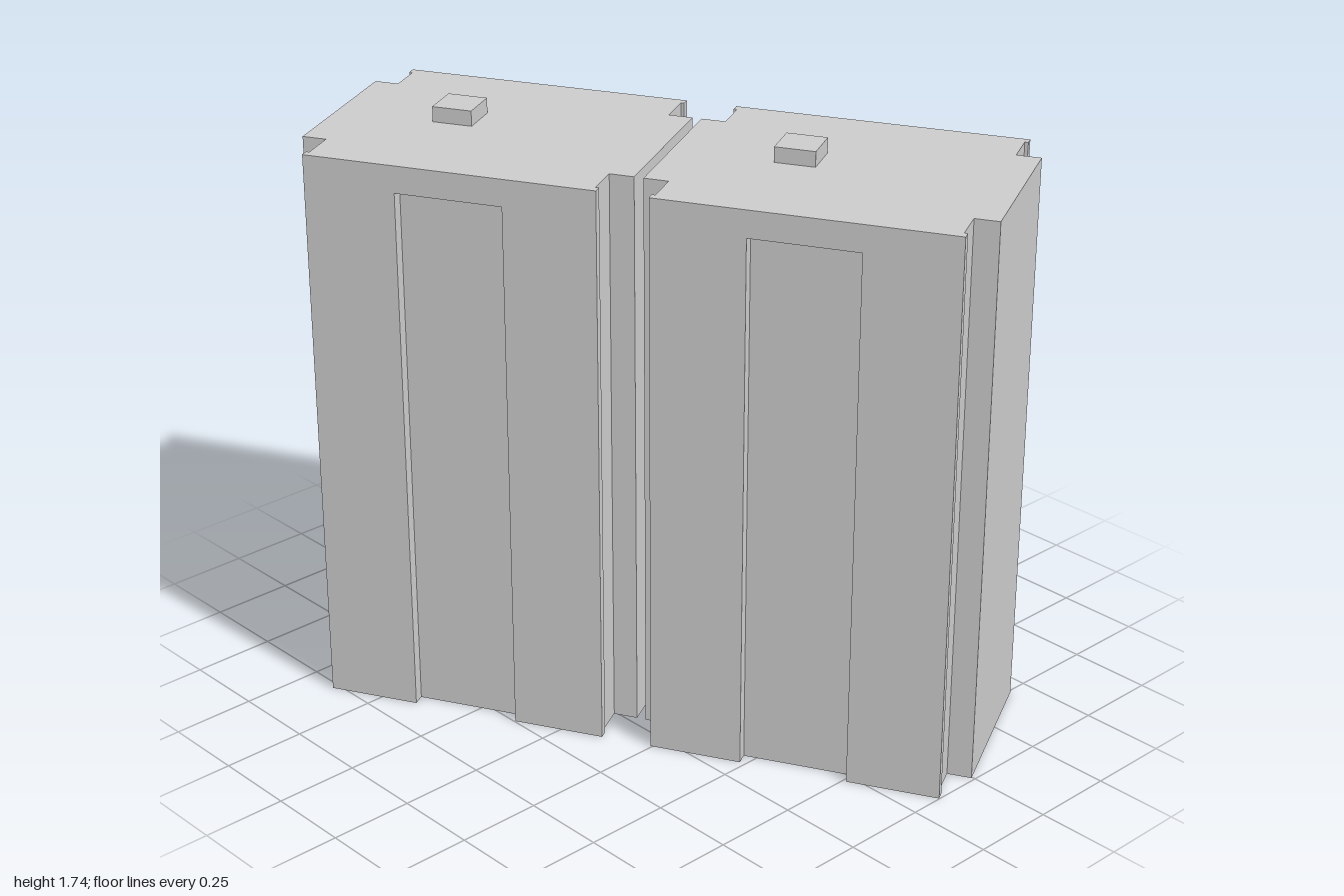
import * as THREE from 'three';

const HEIGHT = 1.69, RECESS_TOP = 1.61;
const SIDE = 0.38, RECESS_X = 0.343, RECESS_Z = 0.157;

const material = new THREE.MeshStandardMaterial({
  color: 0xcccccc, flatShading: true, side: THREE.DoubleSide,
});

// Footprint, counter-clockwise as [x, -z]; the second half is the first turned by 180 degrees
function footprint(withRecess) {
  const half = [
    [-0.248, -0.488], [0.248, -0.488], [0.248, -0.417],
    [0.355, -0.417], [0.355, -0.427], [SIDE, -0.427],
  ];
  if (withRecess) {
    half.push([SIDE, -RECESS_Z], [RECESS_X, -RECESS_Z], [RECESS_X, RECESS_Z], [SIDE, RECESS_Z]);
  }
  half.push([SIDE, 0.427], [0.355, 0.427], [0.355, 0.417], [0.248, 0.417]);
  return [...half, ...half.map(([x, y]) => [-x, -y])];
}

// Upright walls along a closed outline, open above and below
function wallGeometry(outline, y0, y1) {
  const positions = [];
  outline.forEach(([ax, ay], i) => {
    const [bx, by] = outline[(i + 1) % outline.length];
    positions.push(
      ax, y0, -ay, bx, y0, -by, bx, y1, -by,
      ax, y0, -ay, bx, y1, -by, ax, y1, -ay,
    );
  });
  const geometry = new THREE.BufferGeometry();
  geometry.setAttribute('position', new THREE.Float32BufferAttribute(positions, 3));
  geometry.computeVertexNormals();
  return geometry;
}

function addPart(parent, name, geometry, x = 0, y = 0, z = 0) {
  const mesh = new THREE.Mesh(geometry, material);
  mesh.name = name;
  mesh.position.set(x, y, z);
  parent.add(mesh);
}

function createTower() {
  const tower = new THREE.Group();
  const outline = footprint(false);

  // Hollow shell: recessed walls below, a plain band above
  addPart(tower, 'lowerWalls', wallGeometry(footprint(true), 0, RECESS_TOP));
  addPart(tower, 'upperWalls', wallGeometry(outline, RECESS_TOP, HEIGHT));

  // Flat roof
  const shape = new THREE.Shape(outline.map(([x, y]) => new THREE.Vector2(x, y)));
  addPart(tower, 'roof', new THREE.ShapeGeometry(shape).rotateX(-Math.PI / 2), 0, HEIGHT);

  // Downward-facing ceiling of each side recess
  for (const side of [-1, 1]) {
    const ceiling = new THREE.PlaneGeometry(SIDE - RECESS_X, 2 * RECESS_Z).rotateX(Math.PI / 2);
    addPart(tower, 'recessCeiling', ceiling, side * (SIDE + RECESS_X) / 2, RECESS_TOP);
  }

  // Small rooftop housing
  addPart(tower, 'roofHousing', new THREE.BoxGeometry(0.118, 0.045, 0.118), 0.038, HEIGHT + 0.0225, -0.134);
  return tower;
}

export function createModel() {
  const model = new THREE.Group();
  model.name = 'twinTowers';
  // Two equal towers end to end along a diagonal
  for (const [name, s] of [['backTower', -1], ['frontTower', 1]]) {
    const tower = createTower();
    tower.name = name;
    tower.position.set(s * 0.235, 0, s * 0.443);
    tower.rotation.y = 0.489;
    model.add(tower);
  }
  return model;
}
